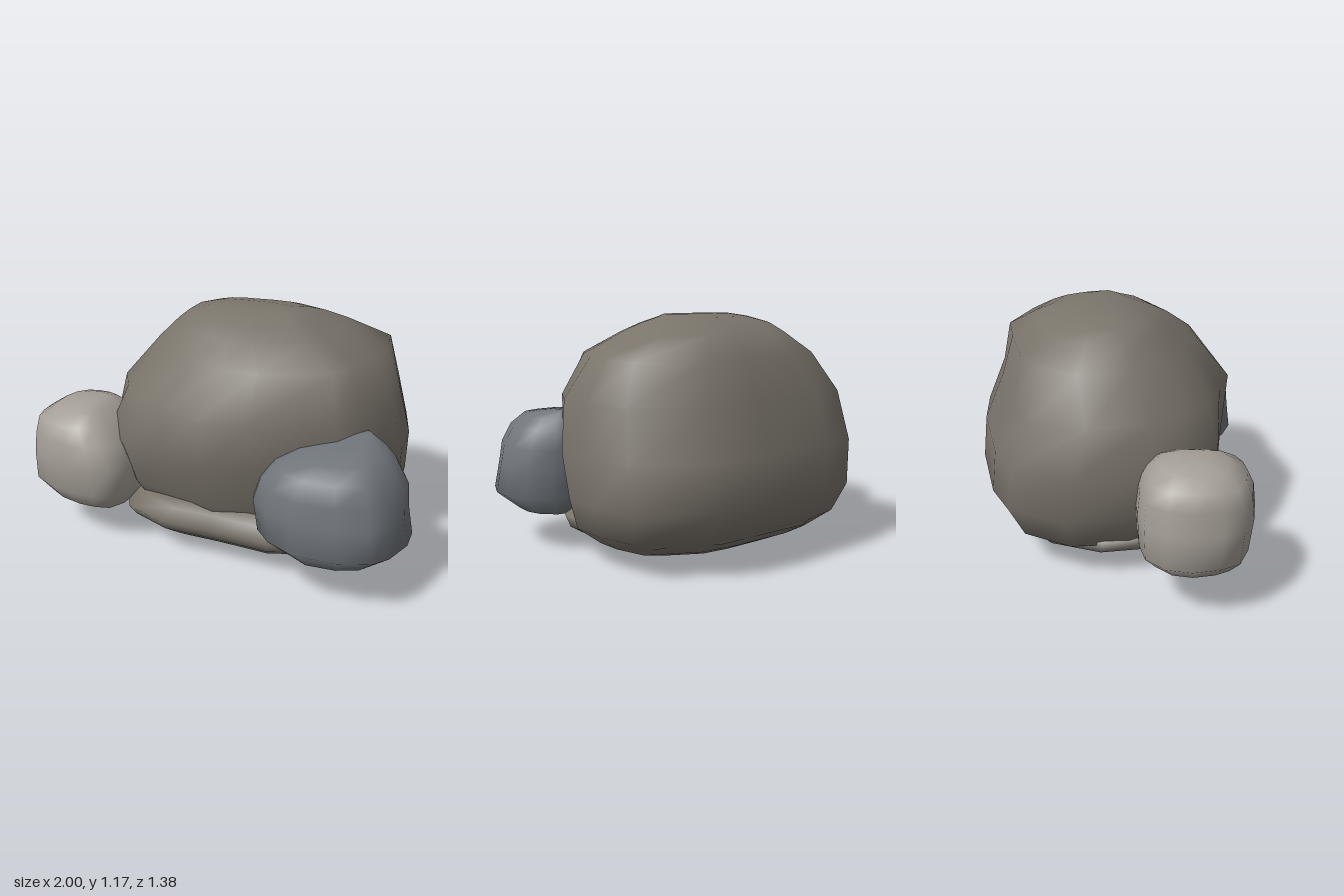
import * as THREE from 'three';

// Builds a boulder by stacking one plan outline ([x, z], clockwise from above),
// stretched at each level to fit [y, xMin, xMax, zMin, zMax, swell].
// Swell pushes the corners out or in: [back -x, back +x, front -x, front +x].
function rock(name, color, outline, levels) {
  const xs = outline.map(p => p[0]), zs = outline.map(p => p[1]);
  const x0 = Math.min(...xs), x1 = Math.max(...xs);
  const z0 = Math.min(...zs), z1 = Math.max(...zs);
  const n = outline.length, pos = [], index = [];
  for (const [y, a, b, c, d, swell = [0, 0, 0, 0]] of levels) {
    for (const [x, z] of outline) {
      const u = 2 * (x - x0) / (x1 - x0) - 1, v = 2 * (z - z0) / (z1 - z0) - 1;
      const corner = (u > 0 ? 1 : 0) + (v > 0 ? 2 : 0);
      const s = (1 + swell[corner] * Math.abs(u * v)) / 2;
      pos.push((a + b) / 2 + (b - a) * u * s, y, (c + d) / 2 + (d - c) * v * s);
    }
  }
  // End caps share the ring vertices so the shading stays soft
  const bottom = n * levels.length, top = bottom + 1;
  for (const [y, a, b, c, d] of [levels[0], levels[levels.length - 1]]) {
    pos.push((a + b) / 2, y, (c + d) / 2);
  }
  const last = n * (levels.length - 1);
  for (let j = 0; j < n; j++) {
    const k = (j + 1) % n;
    index.push(bottom, j, k, top, last + k, last + j);
    for (let r = 0; r < last; r += n) {
      index.push(r + j, r + n + j, r + k, r + k, r + n + j, r + n + k);
    }
  }
  const geometry = new THREE.BufferGeometry();
  geometry.setAttribute('position', new THREE.Float32BufferAttribute(pos, 3));
  geometry.setIndex(index);
  geometry.computeVertexNormals();
  const mesh = new THREE.Mesh(geometry, new THREE.MeshStandardMaterial({ color }));
  mesh.name = name;
  return mesh;
}

export function createModel() {
  const group = new THREE.Group();
  group.name = 'rockCluster';

  // Large central boulder
  group.add(rock('mainBoulder', 0x7a746b, [
    [-0.72, -0.14], [-0.6, -0.43], [-0.4, -0.54], [0.03, -0.66], [0.31, -0.69],
    [0.66, -0.55], [0.76, -0.3], [0.8, -0.08], [0.72, 0.15], [0.64, 0.3],
    [0.3, 0.53], [0.07, 0.6], [-0.15, 0.575], [-0.4, 0.54], [-0.58, 0.4], [-0.68, 0.2],
  ], [
    [0.03, -0.3, 0.42, -0.33, 0.16],
    [0.08, -0.5, 0.62, -0.45, 0.3],
    [0.17, -0.64, 0.74, -0.58, 0.43],
    [0.32, -0.69, 0.78, -0.69, 0.53],
    [0.54, -0.72, 0.8, -0.67, 0.58, [0, 0, 0.04, 0]],
    [0.78, -0.7, 0.76, -0.57, 0.605, [0, 0.02, -0.24, 0.08]],
    [0.98, -0.52, 0.64, -0.51, 0.43, [0, 0.15, -0.2, 0.25]],
    [1.08, -0.39, 0.44, -0.36, 0.3, [0, 0.15, -0.1, 0.3]],
    [1.125, -0.32, 0.35, -0.28, 0.22, [0, 0.1, 0, 0.25]],
    [1.155, -0.21, 0.29, -0.19, 0.13],
    [1.17, -0.12, 0.24, -0.08, 0.06],
  ]));

  // Low slab under the boulder, showing as a ledge at the front
  group.add(rock('baseSlab', 0x7a746b, [
    [-0.66, 0], [-0.58, -0.26], [-0.35, -0.45], [0.2, -0.56], [0.52, -0.48],
    [0.68, -0.2], [0.74, 0.1], [0.68, 0.37], [0.38, 0.53], [0.08, 0.55],
    [-0.2, 0.58], [-0.42, 0.52], [-0.6, 0.3],
  ], [
    [0, -0.25, 0.02, 0.1, 0.33],
    [0.035, -0.38, 0.4, -0.26, 0.39],
    [0.08, -0.53, 0.63, -0.4, 0.46],
    [0.13, -0.62, 0.71, -0.53, 0.53],
    [0.19, -0.64, 0.73, -0.54, 0.575],
    [0.26, -0.5, 0.62, -0.45, 0.54],
    [0.3, -0.25, 0.4, -0.3, 0.5],
  ]));

  // Pale stone at the front on the -x side
  group.add(rock('paleStone', 0xa49e96, [
    [-1, 0.4], [-0.98, 0.28], [-0.9, 0.19], [-0.78, 0.16], [-0.64, 0.15],
    [-0.5, 0.18], [-0.41, 0.3], [-0.39, 0.53], [-0.43, 0.64], [-0.52, 0.675],
    [-0.64, 0.69], [-0.8, 0.67], [-0.92, 0.62], [-0.97, 0.53],
  ], [
    [0.165, -0.78, -0.52, 0.3, 0.54],
    [0.19, -0.91, -0.45, 0.22, 0.62],
    [0.27, -1, -0.4, 0.16, 0.67],
    [0.42, -0.985, -0.39, 0.15, 0.69],
    [0.53, -0.97, -0.44, 0.16, 0.675],
    [0.61, -0.95, -0.52, 0.19, 0.64],
    [0.66, -0.87, -0.59, 0.24, 0.56],
    [0.68, -0.79, -0.64, 0.3, 0.47],
  ]));

  // Blue-grey stone at the front on the +x side
  group.add(rock('blueStone', 0x70757b, [
    [0.28, 0.46], [0.35, 0.3], [0.5, 0.15], [0.68, 0.075], [0.8, 0.07],
    [0.92, 0.14], [0.98, 0.23], [1, 0.35], [0.97, 0.5], [0.92, 0.58],
    [0.78, 0.65], [0.57, 0.68], [0.42, 0.63], [0.32, 0.55],
  ], [
    [0.16, 0.6, 0.8, 0.24, 0.46],
    [0.19, 0.43, 0.89, 0.12, 0.59],
    [0.28, 0.31, 1, 0.08, 0.68],
    [0.42, 0.28, 0.975, 0.09, 0.66],
    [0.52, 0.31, 0.96, 0.07, 0.65],
    [0.61, 0.38, 0.91, 0.1, 0.62],
    [0.665, 0.48, 0.85, 0.13, 0.54],
    [0.69, 0.59, 0.78, 0.15, 0.36],
    [0.705, 0.64, 0.74, 0.16, 0.22],
  ]));

  return group;
}
